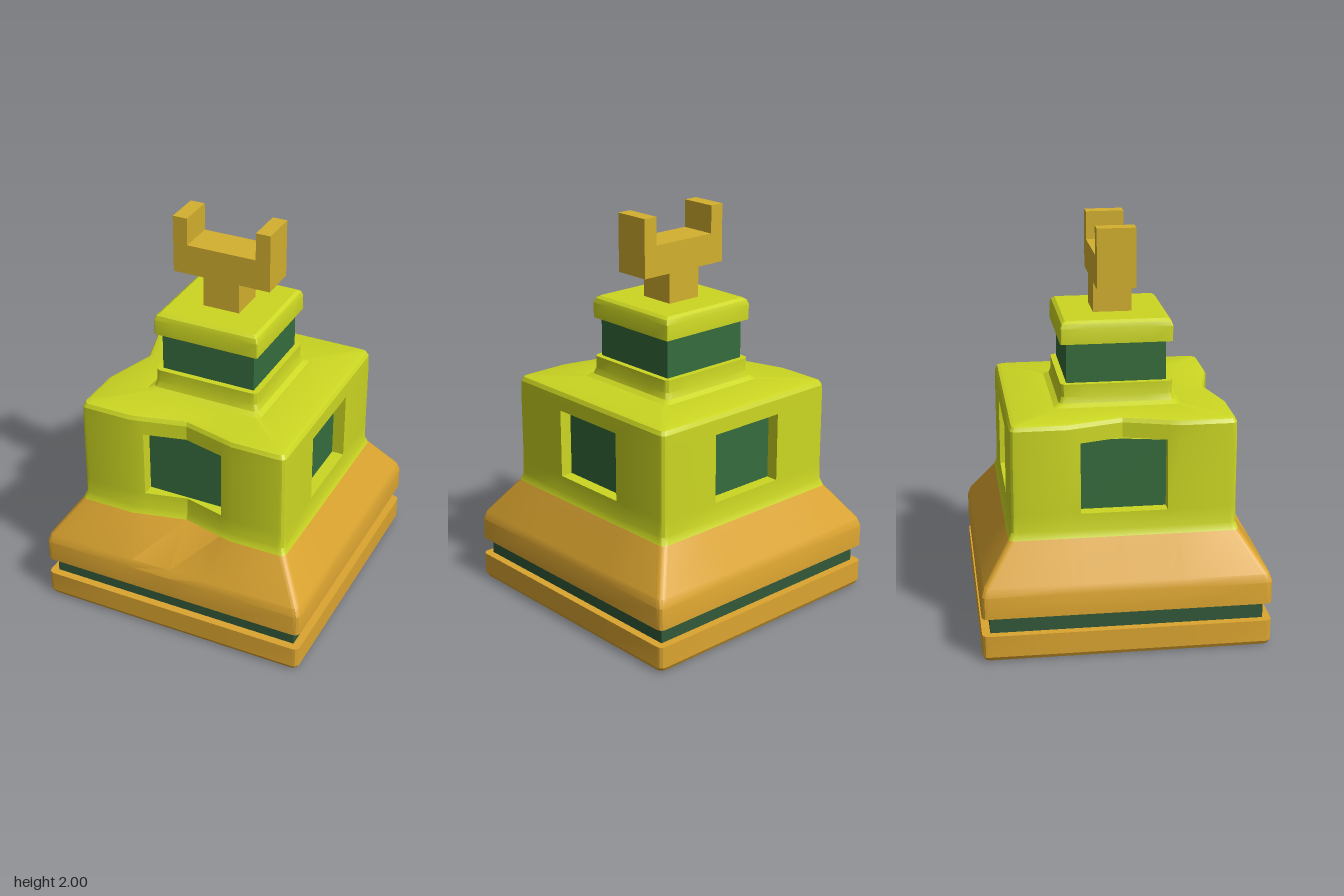
import * as THREE from 'three';
import { toCreasedNormals } from 'three/addons/utils/BufferGeometryUtils.js';

const BREAKS = [-0.27, -0.21, 0, 0.21, 0.27]; // wall subdivisions (dent edges, window edges, centre)
const PER_SIDE = 9;
const WIN = { w: 0.21, y0: 0.68, y1: 1.03 };

// Turn a point (outward, along) of side k into x, z. Sides: 0 +x, 1 +z, 2 -x, 3 -z
function turn(k, out, along) {
  let x = out, z = along;
  for (let i = 0; i < k; i++) [x, z] = [-z, x];
  return [x, z];
}

// Inward dents: a full-height one at the front, an upper one on the -x wall
function dent(k, u, y) {
  const v = Math.max(0, 1 - Math.abs(u) / 0.27);
  if (k === 1) return 0.065 * v * THREE.MathUtils.clamp((y - 0.36) / 0.2, 0, 1);
  if (k === 2) return 0.08 * v * THREE.MathUtils.clamp((y - WIN.y0) / (WIN.y1 - WIN.y0), 0, 1);
  return 0;
}

// One rounded-square ring of half width h at height y
function ring(h, y, r, dented) {
  const pts = [], e = h - r, s = Math.min(1, e / 0.45);
  for (let k = 0; k < 4; k++) {
    for (const u of [-e, ...BREAKS.map(b => b * s), e]) {
      const d = dented && h > 0.5 ? dent(k, u, y) : 0;
      const [x, z] = turn(k, h - d, u);
      pts.push([x, y, z]);
    }
    for (const a of [Math.PI / 6, Math.PI / 3]) {
      const [x, z] = turn(k, e + r * Math.cos(a), e + r * Math.sin(a));
      pts.push([x, y, z]);
    }
  }
  return pts;
}

// Loft a profile of [half width, height]; split = profile row where the second material starts
function loft(profile, { r = 0.03, dented = false, windows = false, split = -1, cap = false } = {}) {
  const rings = profile.map(([h, y]) => ring(h, y, r, dented));
  const n = PER_SIDE * 4, pos = [];
  let splitAt = 0;
  for (let j = 0; j < rings.length - 1; j++) {
    if (j === split) splitAt = pos.length / 3;
    const hole = windows && profile[j][1] === WIN.y0;
    for (let i = 0; i < n; i++) {
      if (hole && (i % PER_SIDE === 2 || i % PER_SIDE === 3)) continue;
      const a = rings[j][i], b = rings[j][(i + 1) % n];
      const c = rings[j + 1][i], d = rings[j + 1][(i + 1) % n];
      pos.push(...a, ...c, ...b, ...b, ...c, ...d);
    }
  }
  if (cap) {
    const top = rings[rings.length - 1], y = top[0][1];
    for (let i = 0; i < n; i++) pos.push(0, y, 0, ...top[(i + 1) % n], ...top[i]);
  }
  const g = new THREE.BufferGeometry();
  g.setAttribute('position', new THREE.Float32BufferAttribute(pos, 3));
  if (split >= 0) {
    g.addGroup(0, splitAt, 0);
    g.addGroup(splitAt, pos.length / 3 - splitAt, 1);
  }
  return toCreasedNormals(g, 0.4);
}

// Inner edges of the window recess on side k
function reveal(k, depth) {
  const { w, y0, y1 } = WIN, pos = [];
  const loop = [[-w, y0], [0, y0], [w, y0], [w, y1], [0, y1], [-w, y1]];
  const at = ([u, y], out) => { const [x, z] = turn(k, out, u); return [x, y, z]; };
  loop.forEach((p, i) => {
    const q = loop[(i + 1) % loop.length];
    const a = at(p, 0.548 - dent(k, ...p)), b = at(q, 0.548 - dent(k, ...q));
    const c = at(p, depth), d = at(q, depth);
    pos.push(...a, ...b, ...c, ...b, ...d, ...c);
  });
  const g = new THREE.BufferGeometry();
  g.setAttribute('position', new THREE.Float32BufferAttribute(pos, 3));
  g.computeVertexNormals();
  return g;
}

export function createModel() {
  const model = new THREE.Group();
  const mat = (name, color) => {
    const m = new THREE.MeshStandardMaterial({ color });
    m.name = name;
    return m;
  };
  const lime = mat('lime', 0xcbd622);
  lime.side = THREE.DoubleSide;
  const amber = mat('amber', 0xdca530);
  const gold = mat('gold', 0xd3b02e);
  const green = mat('green', 0x356c3c);
  const darkGreen = mat('darkGreen', 0x33593a);
  const teal = mat('teal', 0x0a3f3c);
  const add = (name, geo, material, x = 0, y = 0, z = 0) => {
    const m = new THREE.Mesh(geo, material);
    m.name = name;
    m.position.set(x, y, z);
    model.add(m);
    return m;
  };

  // Base slab, its underside and the groove above it
  add('baseSlab', loft([[0.68, 0], [0.695, 0.006], [0.705, 0.025], [0.705, 0.135], [0.65, 0.135]]), amber);
  add('underside', new THREE.PlaneGeometry(1.36, 1.36), teal).rotation.x = Math.PI / 2;
  add('groove', new THREE.BoxGeometry(1.33, 0.11, 1.33), darkGreen, 0, 0.18, 0);

  // Sloped skirt, walls and lower collar in one skin
  const shell = [
    [0.65, 0.225], [0.705, 0.225], [0.705, 0.335], [0.692, 0.375], [0.562, 0.56],
    [0.55, 0.595], [0.548, WIN.y0], [0.548, WIN.y1], [0.546, 1.105], [0.536, 1.125], [0.515, 1.133],
    [0.31, 1.135], [0.285, 1.15], [0.275, 1.18], [0.275, 1.243], [0.235, 1.243],
  ];
  add('body', loft(shell, { dented: true, windows: true, split: 4 }), [amber, lime]);

  // Recessed windows on all four walls
  for (let k = 0; k < 4; k++) {
    const depth = k === 1 ? 0.472 : 0.486;
    add('windowFrame', reveal(k, depth), lime);
    const [x, z] = turn(k, depth, 0);
    const pane = add('windowPane', new THREE.PlaneGeometry(WIN.w * 2, WIN.y1 - WIN.y0), green,
      x, (WIN.y0 + WIN.y1) / 2, z);
    pane.rotation.y = Math.atan2(x, z);
  }

  // Neck and cap
  add('neck', new THREE.BoxGeometry(0.49, 0.22, 0.49), green, 0, 1.343, 0);
  add('cap', loft([[0.235, 1.443], [0.275, 1.443], [0.275, 1.52], [0.267, 1.543], [0.25, 1.555]],
    { r: 0.008, cap: true }), lime);

  // Forked finial, drawn as half an outline and mirrored
  const half = [[0.095, 1.54], [0.095, 1.707], [0.255, 1.707], [0.255, 2], [0.18, 2], [0.18, 1.86]];
  const outline = [...half, ...half.map(([x, y]) => [-x, y]).reverse()];
  const fork = new THREE.ExtrudeGeometry(new THREE.Shape(outline.map(p => new THREE.Vector2(...p))),
    { depth: 0.19, bevelEnabled: false });
  add('forkFinial', fork, gold, 0, 0, -0.095);

  return model;
}
